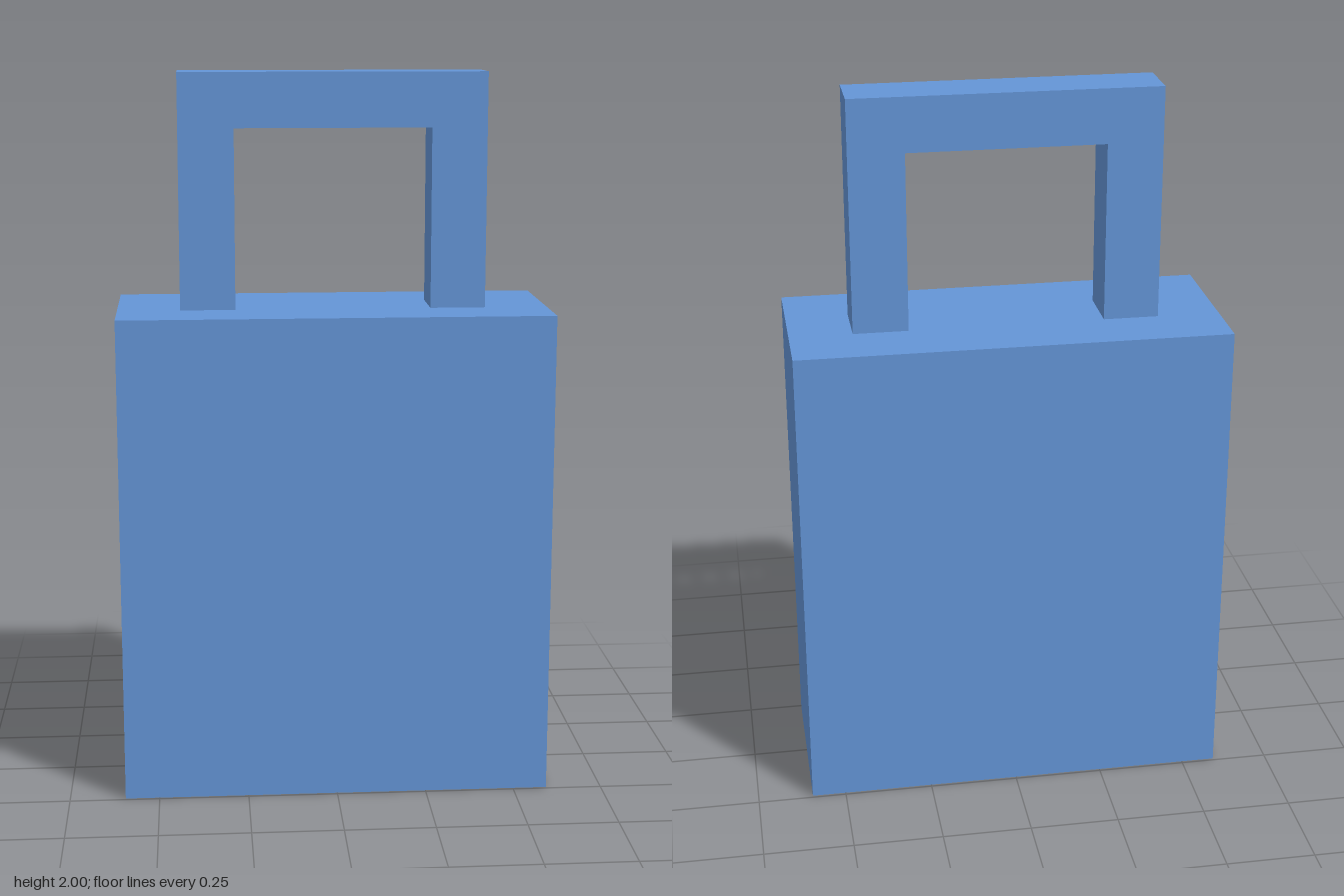
import * as THREE from 'three';

export function createModel() {
  const model = new THREE.Group();
  const material = new THREE.MeshStandardMaterial({ color: 0x6495d6, flatShading: true });

  const bodyHeight = 1.355;
  const handle = { half: 0.422, inner: 0.27, top: 2, underside: 1.85, depth: 0.152 };

  // Solid block body standing on the ground
  const body = new THREE.Mesh(new THREE.BoxGeometry(1.19, bodyHeight, 0.485), material);
  body.name = 'body';
  body.position.y = bodyHeight / 2;
  model.add(body);

  // Square-section handle: an upside-down U rising from the body top
  const { half, inner, top, underside, depth } = handle;
  const outline = new THREE.Shape([
    [-half, bodyHeight], [-inner, bodyHeight], [-inner, underside], [inner, underside],
    [inner, bodyHeight], [half, bodyHeight], [half, top], [-half, top],
  ].map(([x, y]) => new THREE.Vector2(x, y)));
  const handleGeometry = new THREE.ExtrudeGeometry(outline, { depth, bevelEnabled: false });
  handleGeometry.translate(0, 0, -depth / 2);
  const handleMesh = new THREE.Mesh(handleGeometry, material);
  handleMesh.name = 'handle';
  model.add(handleMesh);

  return model;
}
